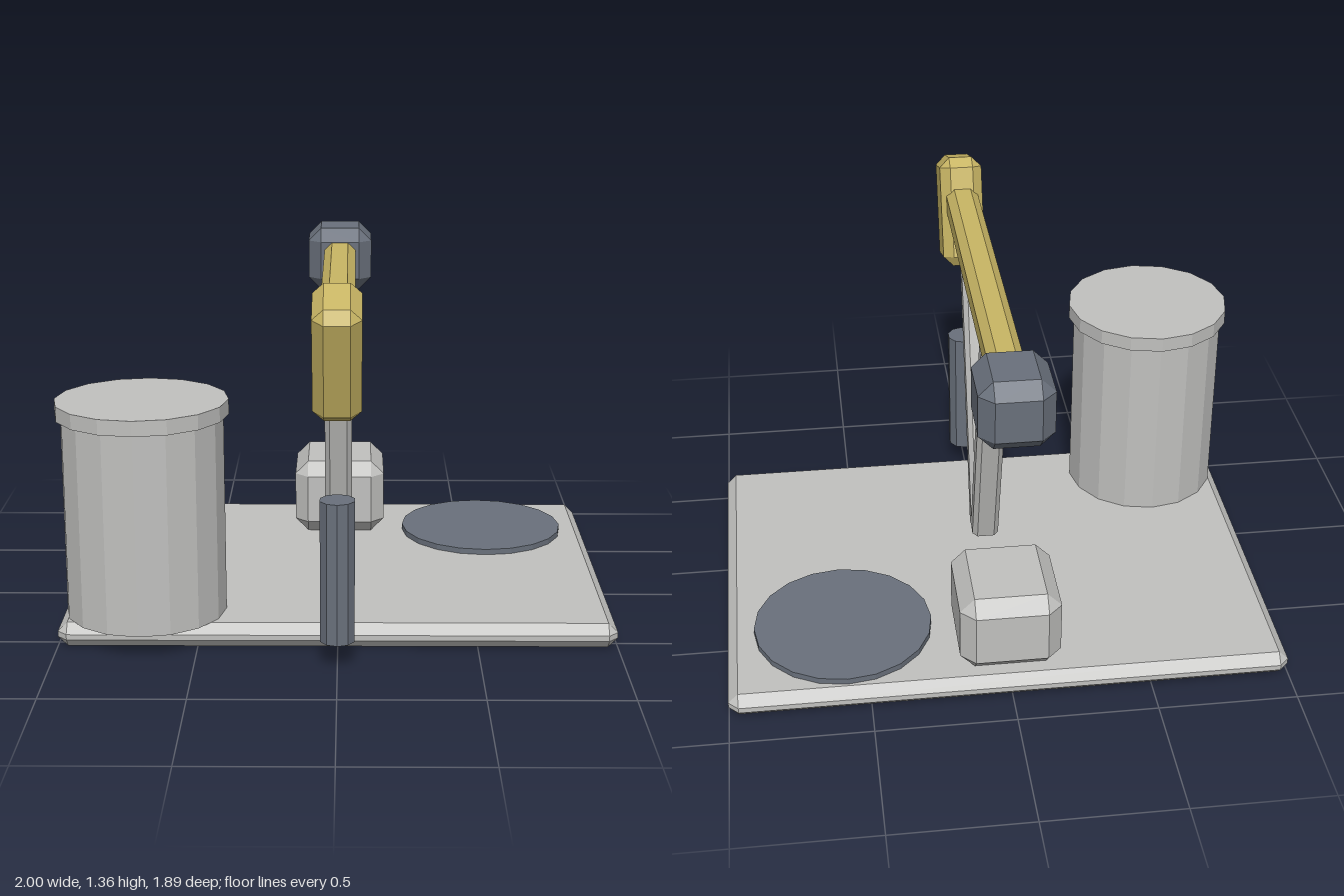
import * as THREE from 'three';
import { ConvexGeometry } from 'three/addons/geometries/ConvexGeometry.js';

const material = (name, color) => {
  const m = new THREE.MeshStandardMaterial({ color, flatShading: true });
  m.name = name;
  return m;
};

// Box with every edge and corner cut by a flat bevel
function bevelBox(w, h, d, b) {
  const points = [];
  for (const sx of [-1, 1]) for (const sy of [-1, 1]) for (const sz of [-1, 1]) {
    const x = w / 2, y = h / 2, z = d / 2;
    points.push(
      new THREE.Vector3(sx * x, sy * (y - b), sz * (z - b)),
      new THREE.Vector3(sx * (x - b), sy * y, sz * (z - b)),
      new THREE.Vector3(sx * (x - b), sy * (y - b), sz * z));
  }
  return new ConvexGeometry(points);
}

export function createModel() {
  const model = new THREE.Group();
  model.name = 'pumpJack';
  const grey = material('light grey', 0xc0c0be);
  const slate = material('slate', 0x69707b);
  const gold = material('gold', 0xc8b564);

  function add(name, geometry, mat, x, y, z, tilt = 0) {
    const mesh = new THREE.Mesh(geometry, mat);
    mesh.name = name;
    mesh.position.set(x, y, z);
    mesh.rotation.x = tilt;
    model.add(mesh);
  }
  // Upright cylinder given by its bottom and top heights
  const drum = (name, mat, r, sides, x, z, y0, y1) =>
    add(name, new THREE.CylinderGeometry(r, r, y1 - y0, sides), mat, x, (y0 + y1) / 2, z);

  // Ground slab and the things standing on it
  add('base', bevelBox(2, 0.09, 1.457, 0.035), grey, 0, 0.045, -0.161);
  drum('tank', grey, 0.29, 16, -0.695, 0.386, 0.09, 0.82);
  drum('tankLid', grey, 0.309, 16, -0.695, 0.386, 0.82, 0.875);
  drum('floorDisc', slate, 0.323, 20, 0.58, -0.523, 0.09, 0.112);
  drum('wellPipe', slate, 0.063, 10, 0, 0.694, 0.09, 0.6);
  add('motorBox', bevelBox(0.36, 0.295, 0.4, 0.052), grey, 0, 0.2375, -0.653);

  // V-shaped support
  for (const side of [1, -1]) {
    add(side > 0 ? 'frontLeg' : 'rearLeg', bevelBox(0.1, 1.063, 0.088, 0.018), grey,
      0, 0.635, -0.015 + side * 0.1615, side * Math.atan2(0.299, 1.02));
  }

  // Rocking beam with its head and counterweight
  add('beam', bevelBox(0.124, 0.128, 1.46, 0.03), gold, 0, 1.194, 0.01);
  add('beamHead', bevelBox(0.164, 0.427, 0.248, 0.038), gold, 0, 1.131, 0.769, 0.34);
  add('counterweight', bevelBox(0.254, 0.25, 0.288, 0.05), slate, 0, 1.185, -0.8);

  return model;
}
